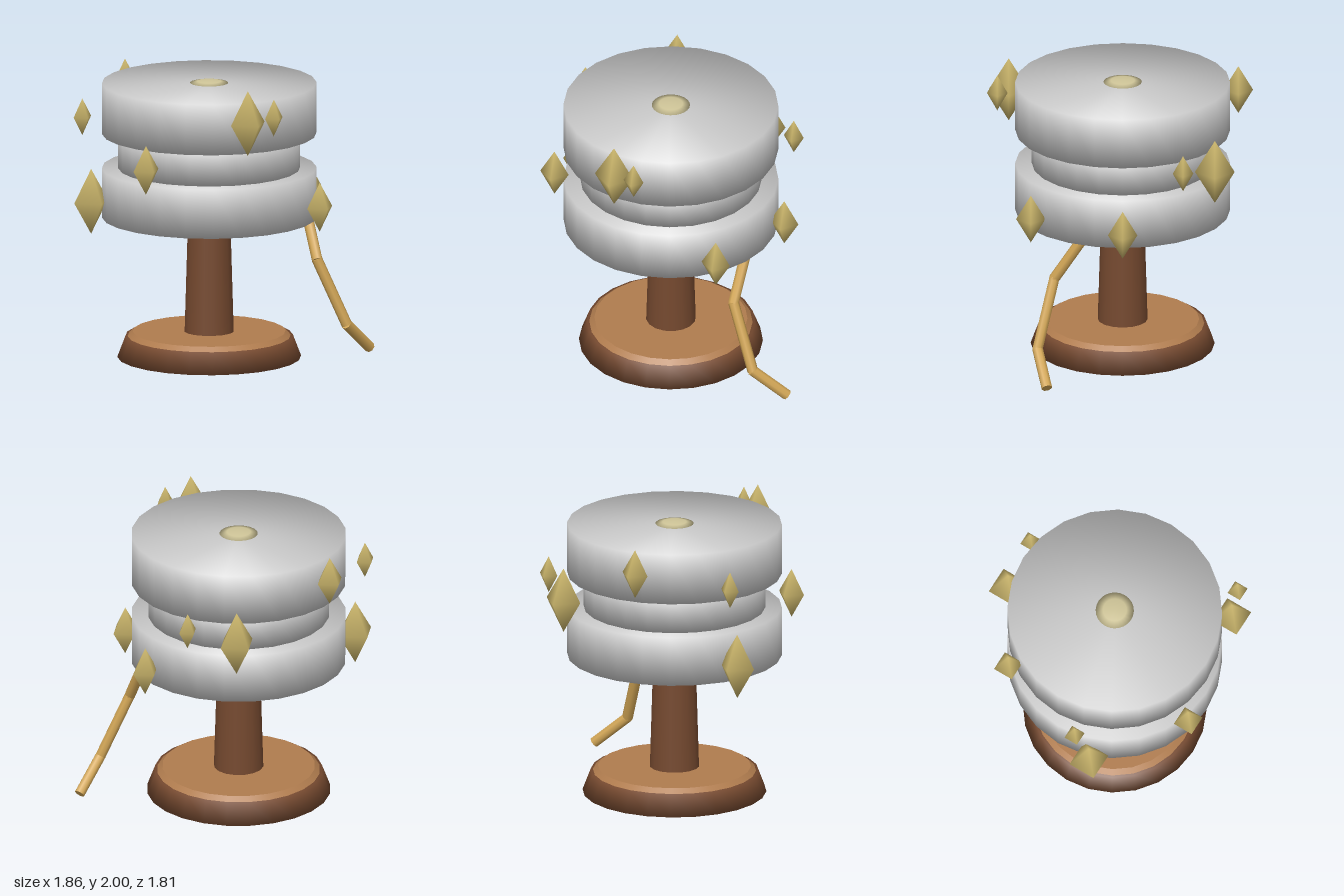
import * as THREE from 'three';

const paint = (name, color) => {
  const m = new THREE.MeshStandardMaterial({ color });
  m.name = name;
  return m;
};

// Turned solid whose normals blend evenly across every profile corner
function softLathe(profile, segments) {
  const points = profile.map(([r, y]) => new THREE.Vector2(r, y));
  const geometry = new THREE.LatheGeometry(points, segments);
  const sides = points.slice(1).map((p, i) => {
    const d = p.clone().sub(points[i]).normalize();
    return new THREE.Vector2(d.y, -d.x);
  });
  const normals = points.map((p, i) => {
    if (p.x === 0) return new THREE.Vector2(0, i === 0 ? -1 : 1);
    return sides[i - 1].clone().add(sides[i]).normalize();
  });
  const attribute = geometry.attributes.normal;
  for (let i = 0; i < attribute.count; i++) {
    const n = normals[i % points.length];
    const angle = (Math.floor(i / points.length) / segments) * Math.PI * 2;
    attribute.setXYZ(i, n.x * Math.sin(angle), n.y, n.x * Math.cos(angle));
  }
  return geometry;
}

const drum = (r, y0, y1) => softLathe([[0, y0], [r, y0], [r, y1], [0, y1]], 24);

export function createModel() {
  const model = new THREE.Group();
  model.name = 'model';

  const steel = paint('pale grey', 0xcacaca);
  const gold = paint('gem gold', 0xcbb66c);
  const cord = paint('cord gold', 0xd2a656);
  const darkWood = paint('dark wood', 0x75492f);
  const lightWood = paint('light wood', 0xb07c4e);
  const paleGold = paint('pale gold', 0xcfc598);

  const add = (parent, name, geometry, material) => {
    const mesh = new THREE.Mesh(geometry, material);
    mesh.name = name;
    parent.add(mesh);
    return mesh;
  };

  // Turned parts share one slightly offset axis
  const turned = new THREE.Group();
  turned.name = 'spoolStand';
  turned.position.set(-0.07, 0, -0.022);
  model.add(turned);

  add(turned, 'base', softLathe([[0, 0], [0.625, 0], [0.57, 0.145], [0, 0.145]], 24), darkWood);
  add(turned, 'baseTop', new THREE.CylinderGeometry(0.52, 0.56, 0.035, 24).translate(0, 0.158, 0), lightWood);
  add(turned, 'post', new THREE.CylinderGeometry(0.145, 0.17, 0.84, 16).translate(0, 0.57, 0), darkWood);
  add(turned, 'lowerDrum', drum(0.73, 0.97, 1.31), steel);
  add(turned, 'middleDrum', drum(0.618, 1.31, 1.55), steel);
  add(turned, 'upperDrum', drum(0.73, 1.55, 1.9), steel);

  // Shallow button on top
  add(turned, 'topButton', softLathe([[0.13, 1.9], [0.08, 1.911], [0, 1.918]].reduce(
    (list, p) => [...list, p], [[0, 1.895]]), 24), paleGold);

  // Gems: x, y, z, half width, half height
  const big = [0.135, 0.225], medium = [0.1, 0.17], small = [0.07, 0.127];
  const gems = [
    [-0.25, 1.775, 0.753, big],
    [0.425, 1.435, -0.65, big],
    [-0.797, 1.095, -0.373, big],
    [-0.25, 1.775, -0.807, medium],
    [0.73, 1.09, -0.025, medium],
    [0.425, 1.09, 0.6, medium],
    [-0.795, 1.435, 0.32, medium],
    [0.68, 1.52, -0.435, small],
    [-0.09, 1.81, 0.83, small],
    [-0.803, 1.665, -0.475, small],
  ];
  const gemGroup = new THREE.Group();
  gemGroup.name = 'gems';
  model.add(gemGroup);
  for (const [x, y, z, [w, h]] of gems) {
    const geometry = new THREE.SphereGeometry(1, 4, 2).scale(w, h, w);
    add(gemGroup, 'gem', geometry, gold).position.set(x, y, z);
  }

  // Hanging cord of straight links
  const path = [[0.55, 1.08, 0.19], [0.505, 0.69, 0.44], [0.672, 0.24, 0.553], [0.895, 0.045, 0.49]]
    .map((p) => new THREE.Vector3(...p));
  const cordGroup = new THREE.Group();
  cordGroup.name = 'cord';
  model.add(cordGroup);
  const up = new THREE.Vector3(0, 1, 0);
  for (let i = 1; i < path.length; i++) {
    const along = path[i].clone().sub(path[i - 1]);
    const link = add(cordGroup, 'cordLink',
      new THREE.CylinderGeometry(0.037, 0.037, along.length() + 0.01, 8), cord);
    link.position.copy(path[i]).add(path[i - 1]).multiplyScalar(0.5);
    link.quaternion.setFromUnitVectors(up, along.normalize());
  }

  return model;
}
